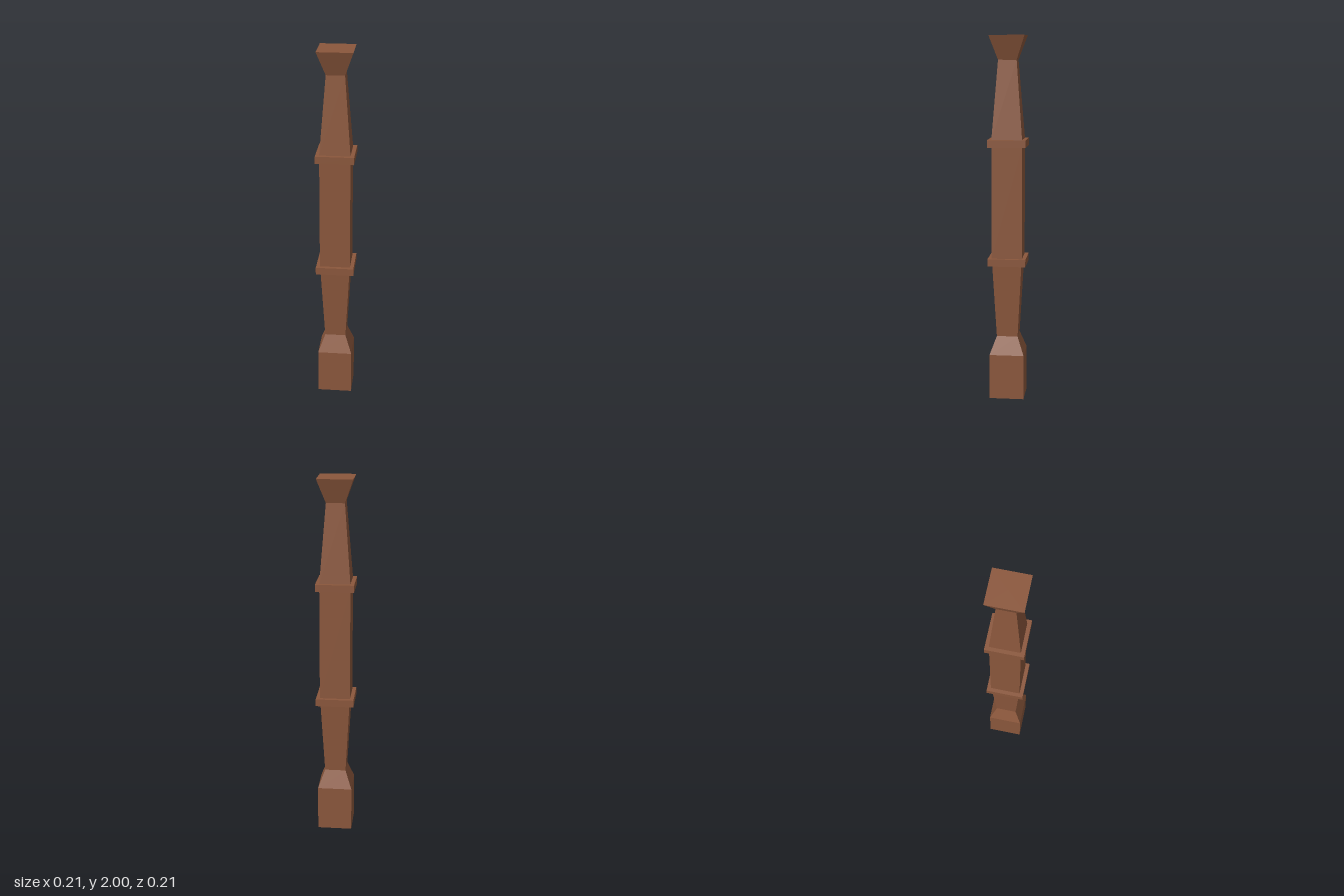
import * as THREE from 'three';

// Square section: half-widths at bottom and top, sharp edges
function section(name, y0, y1, halfBottom, halfTop, material, open = true) {
  const geo = new THREE.CylinderGeometry(
    halfTop * Math.SQRT2, halfBottom * Math.SQRT2, y1 - y0, 4, 1, open
  ).rotateY(Math.PI / 4).translate(0, (y0 + y1) / 2, 0).toNonIndexed();
  geo.computeVertexNormals();
  const mesh = new THREE.Mesh(geo, material);
  mesh.name = name;
  return mesh;
}

export function createModel() {
  const group = new THREE.Group();
  group.name = 'squarePost';
  const wood = new THREE.MeshStandardMaterial({ color: 0x8b573c });
  wood.name = 'brown wood';

  // Stacked from the floor up; only exposed ends are capped
  group.add(
    section('base', 0, 0.25, 0.095, 0.095, wood, false),
    section('baseShoulder', 0.25, 0.35, 0.095, 0.058, wood),
    section('lowerShaft', 0.35, 0.755, 0.058, 0.08, wood),
    section('lowerCollar', 0.755, 0.795, 0.104, 0.104, wood, false),
    section('middleBlock', 0.795, 1.405, 0.083, 0.083, wood),
    section('upperCollar', 1.405, 1.445, 0.104, 0.104, wood, false),
    section('upperShaft', 1.445, 1.87, 0.083, 0.05, wood),
    section('capital', 1.87, 2, 0.05, 0.096, wood, false)
  );
  return group;
}
